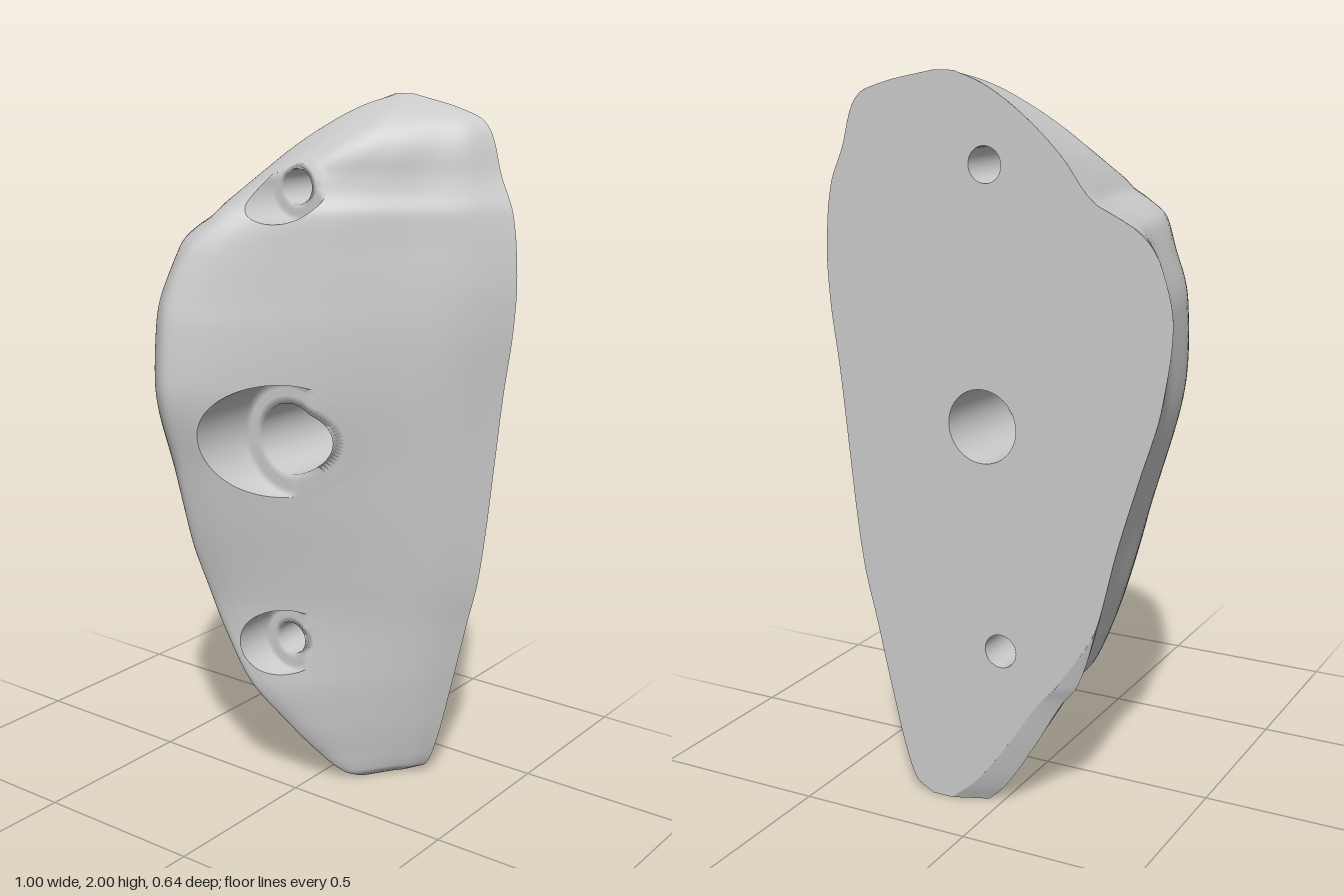
import * as THREE from 'three';

const BACK = -0.32;
const lerp = THREE.MathUtils.lerp;

// Smooth curve through [a, b] pairs that never overshoots them
function curve(p) {
  const n = p.length, d = [], m = [];
  for (let i = 0; i < n - 1; i++) d.push((p[i + 1][1] - p[i][1]) / (p[i + 1][0] - p[i][0]));
  m[0] = d[0];
  m[n - 1] = d[n - 2];
  for (let i = 1; i < n - 1; i++) m[i] = d[i - 1] * d[i] <= 0 ? 0 : (2 * d[i - 1] * d[i]) / (d[i - 1] + d[i]);
  return (x) => {
    let i = 0;
    while (i < n - 2 && x > p[i + 1][0]) i++;
    const h = p[i + 1][0] - p[i][0];
    const t = THREE.MathUtils.clamp((x - p[i][0]) / h, 0, 1), u = 1 - t;
    return p[i][1] * (1 + 2 * t) * u * u + p[i + 1][1] * t * t * (3 - 2 * t)
      + h * t * u * (m[i] * u - m[i + 1] * t);
  };
}

// Outline, ridge line and flange width, all as functions of height
const leftX = curve([[0, 0.04], [0.05, -0.01], [0.2, -0.11], [0.35, -0.2], [0.4, -0.24], [0.6, -0.31],
  [0.8, -0.36], [1, -0.42], [1.2, -0.48], [1.4, -0.505], [1.55, -0.47], [1.62, -0.42], [1.655, -0.36],
  [1.69, -0.29], [1.8, -0.2], [1.9, -0.09], [1.97, 0.02], [2, 0.1]]);
const rightX = curve([[0, 0.2], [0.03, 0.25], [0.1, 0.28], [0.3, 0.33], [0.5, 0.375], [0.65, 0.41],
  [0.8, 0.43], [1, 0.45], [1.2, 0.47], [1.4, 0.495], [1.5, 0.5], [1.6, 0.495], [1.7, 0.48], [1.8, 0.44],
  [1.9, 0.41], [1.94, 0.38], [1.97, 0.3], [2, 0.16]]);
const ridgeX = curve([[0, 0.1], [0.05, 0.06], [0.2, -0.02], [0.4, -0.12], [0.6, -0.18], [0.8, -0.2],
  [1.45, -0.2], [1.6, -0.165], [1.7, -0.1], [1.75, -0.05], [1.8, 0.015], [1.9, 0.13], [1.95, 0.17],
  [1.97, 0.165], [2, 0.13]]);
const ridgeZ = curve([[0, -0.18], [0.02, -0.14], [0.1, -0.07], [0.2, 0], [0.35, 0.085], [0.5, 0.12],
  [0.6, 0.145], [0.8, 0.21], [1, 0.26], [1.25, 0.32], [1.4, 0.31], [1.6, 0.25], [1.7, 0.175],
  [1.75, 0.095], [1.8, 0.03], [1.85, -0.02], [1.9, -0.08], [1.95, -0.16], [1.98, -0.24], [2, BACK]]);
const flange = curve([[0, 0.01], [0.2, 0.02], [0.4, 0.03], [1, 0.03], [1.2, 0.05], [1.4, 0.075],
  [1.55, 0.08], [1.65, 0.05], [1.75, 0.02], [1.9, 0.02], [2, 0.01]]);
// Rounding of the left and right slopes towards the top
const fullLeft = curve([[0, 0], [1.5, 0], [1.75, 1], [2, 1]]);
const fullRight = curve([[0, 0], [1.6, 0], [1.95, 0.35], [2, 0.35]]);
// How far the back rim tucks in under the lower left side
const tuck = curve([[0, 0.1], [0.1, 0.08], [0.4, 0.05], [0.6, 0], [2, 0]]);
const rimX = (y) => leftX(y) + tuck(y);

// Cross-section at height y: depth of the front as a function of x
function section(y) {
  const x0 = leftX(y), x1 = x0 + flange(y), xr = ridgeX(y), x2 = rightX(y), zr = ridgeZ(y);
  const kl = fullLeft(y), kr = fullRight(y);
  const zf = lerp(BACK, zr, 0.27 + 0.08 * kl);
  const left = [[0, 0], [0.09, 0.32], [0.26, 0.54], [0.74, 0.925], [1, 1]]
    .map(([u, v]) => [lerp(x1, xr, u), lerp(zf, zr, lerp(v, v ** 0.6, kl))]);
  const right = [[0.07, 0.03, 0.01], [0.16, 0.1, 0.03], [0.41, 0.365, 0.15], [0.66, 0.638, 0.36],
    [0.86, 0.815, 0.6], [1, 1, 1]]
    .map(([u, a, b]) => [lerp(xr, x2, u), lerp(zr, BACK, lerp(a, b, kr))]);
  return curve([[x0, BACK + tuck(y) * 0.4], ...left, ...right]);
}
const frontZ = (x, y) => section(y)(x);

// Bolt holes: centre, counterbore radius, bore radius, depth of seat
const holes = [
  { name: 'upperHole', x: 0.015, y: 1.77, R: 0.09, r: 0.047, seat: 0.01 },
  { name: 'centreHole', x: 0.03, y: 1.09, R: 0.165, r: 0.1, seat: 0.06 },
  { name: 'lowerHole', x: -0.02, y: 0.47, R: 0.1, r: 0.047, seat: -0.01 },
];

function geometry(pos, idx) {
  const g = new THREE.BufferGeometry();
  g.setAttribute('position', new THREE.Float32BufferAttribute(pos, 3));
  g.setIndex(idx);
  g.computeVertexNormals();
  return g;
}

// Front skin: grid over the outline, opened around each counterbore.
// The first row and first column close the skin down to the back plane.
function skin() {
  const cols = 110, rows = 190, pos = [], idx = [], inside = [];
  for (let j = -1; j <= rows; j++) {
    const t = Math.max(j, 0) / rows;
    const y = 2 * lerp(t, (1 - Math.cos(Math.PI * t)) / 2, 0.6);
    const z = section(y), x0 = leftX(y), x1 = rightX(y);
    for (let i = -1; i <= cols; i++) {
      const rim = i < 0 || j < 0;
      let px = lerp(x0, x1, Math.pow(Math.max(i, 0) / cols, 1.3)), py = y;
      if (rim) px = Math.max(px, rimX(y));
      let pz = rim ? BACK : z(px);
      const o = holes.find((h) => Math.hypot(px - h.x, py - h.y) < h.R);
      if (o) {
        const a = Math.atan2(py - o.y, px - o.x);
        px = o.x + o.R * Math.cos(a);
        py = o.y + o.R * Math.sin(a);
        pz = frontZ(px, py);
      }
      inside.push(!!o);
      pos.push(px, py, pz);
    }
  }
  const tri = (a, b, c) => { if (!(inside[a] && inside[b] && inside[c])) idx.push(a, b, c); };
  for (let j = 0; j <= rows; j++) {
    for (let i = 0; i <= cols; i++) {
      const a = j * (cols + 2) + i, b = a + cols + 2;
      tri(a, a + 1, b + 1);
      tri(a, b + 1, b);
    }
  }
  return geometry(pos, idx);
}

// Lining of a hole: lip under the skin, counterbore wall, bolt seat and bore
function holeLining(o) {
  const seat = (x, y) => Math.min(frontZ(x, y), o.seat);
  const rings = [
    [o.R * 1.03, (x, y) => frontZ(x, y) - 0.003],
    [o.R, (x, y) => frontZ(x, y) - 0.001],
    [o.R, seat],
    [lerp(o.R, o.r, 0.33), seat],
    [lerp(o.R, o.r, 0.67), seat],
    [o.r, seat],
    [o.r, () => BACK],
  ];
  const n = 72, pos = [], idx = [];
  rings.forEach(([r, z], j) => {
    for (let i = 0; i <= n; i++) {
      const a = (i / n) * Math.PI * 2;
      const x = o.x + r * Math.cos(a), y = o.y + r * Math.sin(a);
      pos.push(x, y, z(x, y));
      if (j === 0 || i === n) continue;
      const q = j * (n + 1) + i, p = q - n - 1;
      idx.push(p, p + 1, q + 1, p, q + 1, q);
    }
  });
  return geometry(pos, idx);
}

// Flat back with the bores cut through
function backPlate() {
  const pts = [], n = 100;
  const height = (i) => 1 - Math.cos((Math.PI * i) / n);
  for (let i = 0; i <= n; i++) pts.push(new THREE.Vector2(-rightX(height(i)), height(i)));
  for (let i = n; i >= 0; i--) pts.push(new THREE.Vector2(-rimX(height(i)), height(i)));
  const shape = new THREE.Shape(pts);
  for (const o of holes) shape.holes.push(new THREE.Path().absarc(-o.x, o.y, o.r, 0, Math.PI * 2, true));
  return new THREE.ShapeGeometry(shape, 32).rotateY(Math.PI).translate(0, 0, BACK);
}

export function createModel() {
  const group = new THREE.Group();
  group.name = 'climbingHold';
  const solid = new THREE.MeshStandardMaterial({ color: 0xcccccc });
  const open = new THREE.MeshStandardMaterial({ color: 0xcccccc, side: THREE.DoubleSide });
  const add = (name, geo, mat) => {
    const mesh = new THREE.Mesh(geo, mat);
    mesh.name = name;
    group.add(mesh);
  };
  add('frontSkin', skin(), open);
  add('backPlate', backPlate(), solid);
  for (const o of holes) add(o.name, holeLining(o), open);
  return group;
}
